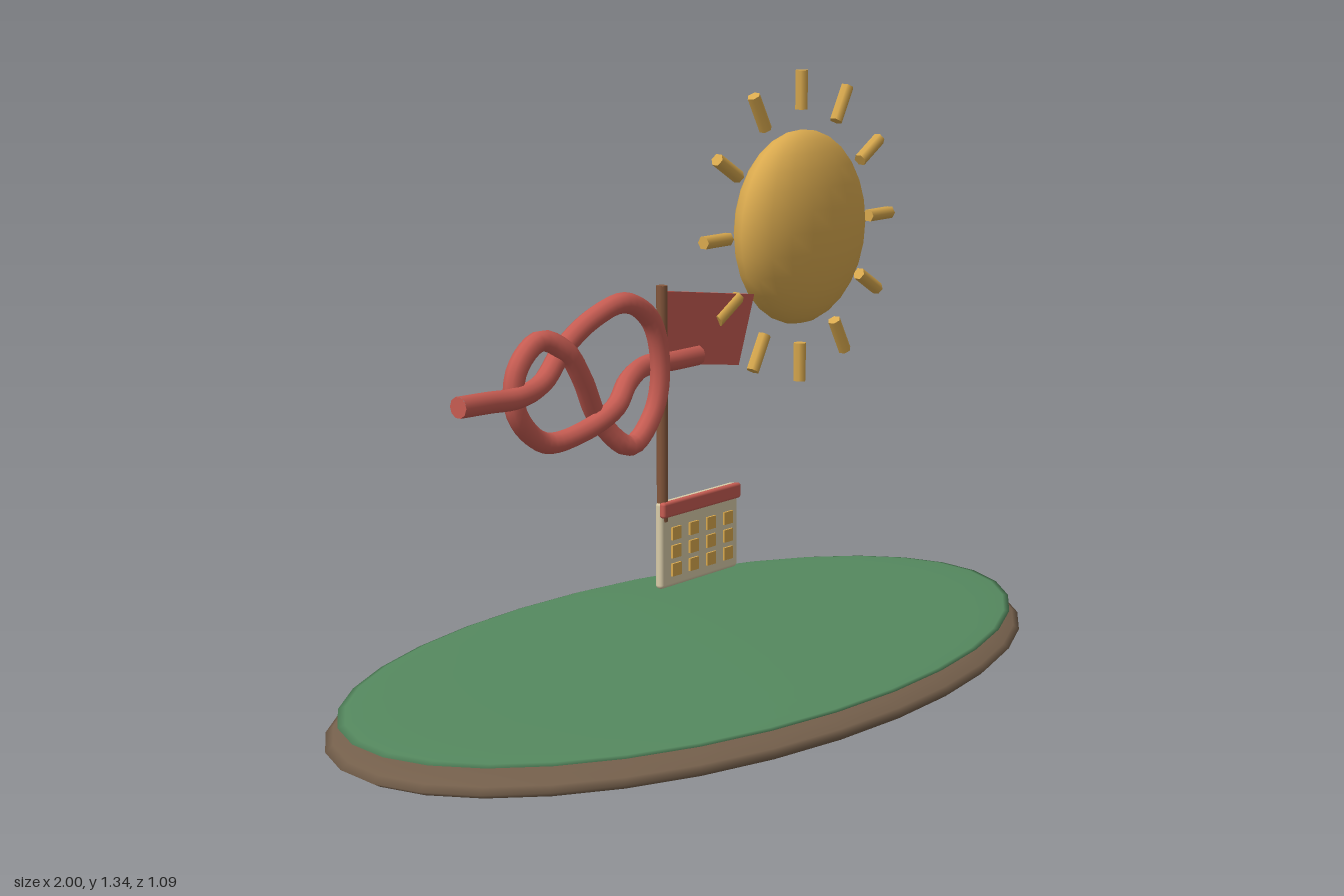
import * as THREE from 'three';
import { RoundedBoxGeometry } from 'three/addons/geometries/RoundedBoxGeometry.js';

const paint = (color) => {
  const m = new THREE.MeshStandardMaterial();
  m.color.set(color);
  return m;
};
const earth = paint(0x75604c), grass = paint(0x55895f), gold = paint(0xd9a94e);
const red = paint(0xc65c52), cream = paint(0xd8cba8), wood = paint(0x84573c);

export function createModel() {
  const model = new THREE.Group();
  const add = (name, geometry, material, x = 0, y = 0, z = 0, parent = model) => {
    const mesh = new THREE.Mesh(geometry, material);
    mesh.name = name;
    mesh.position.set(x, y, z);
    parent.add(mesh);
    return mesh;
  };

  // Flattened oval island with a thin grass layer
  add('islandBase', new THREE.SphereGeometry(1, 32, 16), earth, 0, 0.06).scale.set(1, 0.057, 0.545);
  add('grassTop', new THREE.SphereGeometry(1, 32, 16), grass, 0, 0.105).scale.set(0.97, 0.017, 0.525);

  // Sun with twelve rays
  const sun = new THREE.Group();
  sun.name = 'sun';
  sun.position.set(0.37, 0.997, 0);
  model.add(sun);
  add('sunDisc', new THREE.SphereGeometry(0.218, 20, 14), gold, 0, 0, 0, sun).scale.z = 0.41;
  for (let i = 0; i < 12; i++) {
    const a = (i / 12) * Math.PI * 2;
    const ray = add('sunRay', new THREE.CylinderGeometry(0.015, 0.015, 0.087, 6), gold,
      Math.cos(a) * 0.306, Math.sin(a) * 0.306, 0, sun);
    ray.rotation.z = a - Math.PI / 2;
  }

  // Calendar panel with header bar and a grid of day cells
  const calendar = new THREE.Group();
  calendar.name = 'calendar';
  model.add(calendar);
  add('calendarPanel', new RoundedBoxGeometry(0.266, 0.19, 0.02, 2, 0.008), cream, -0.002, 0.36, 0, calendar);
  add('calendarHeader', new RoundedBoxGeometry(0.268, 0.034, 0.016, 2, 0.006), red, -0.002, 0.439, 0.011, calendar);
  for (let row = 0; row < 3; row++) {
    for (let col = 0; col < 4; col++) {
      add('dayCell', new THREE.BoxGeometry(0.03, 0.028, 0.01), gold,
        -0.088 + col * 0.06, 0.383 - row * 0.04, 0.01, calendar);
    }
  }

  // Flag on a pole
  add('flagPole', new THREE.CylinderGeometry(0.012, 0.012, 0.51, 10), wood, -0.12, 0.667);
  const flagShape = new THREE.Shape([[-0.118, 0.91], [-0.118, 0.755], [0.14, 0.716], [0.195, 0.866]]
    .map(([x, y]) => new THREE.Vector2(x, y)));
  add('flag', new THREE.ExtrudeGeometry(flagShape, { depth: 0.008, bevelEnabled: false }), red, 0, 0, -0.004);

  // Rope tied in a figure-eight knot
  const path = [
    [-0.745, 0.755, 0], [-0.66, 0.752, 0], [-0.58, 0.75, 0.005], [-0.5, 0.768, 0],
    [-0.42, 0.83, -0.01], [-0.355, 0.882, 0.01], [-0.275, 0.907, 0.028], [-0.195, 0.86, 0.032],
    [-0.165, 0.76, 0.032], [-0.185, 0.665, 0.03], [-0.26, 0.604, 0.028], [-0.33, 0.665, 0.005],
    [-0.395, 0.765, 0.014], [-0.44, 0.825, 0.012], [-0.495, 0.853, -0.008], [-0.56, 0.8, -0.014],
    [-0.563, 0.715, -0.014], [-0.485, 0.642, -0.008], [-0.39, 0.654, 0.015], [-0.31, 0.692, 0.03],
    [-0.245, 0.735, 0.01], [-0.165, 0.755, -0.01], [-0.08, 0.757, 0], [0, 0.757, 0],
  ].map((p) => new THREE.Vector3(...p));
  const ropeRadius = 0.022;
  const curve = new THREE.CatmullRomCurve3(path);
  add('knottedRope', new THREE.TubeGeometry(curve, 120, ropeRadius, 10), red);
  for (const [t, side] of [[0, -1], [1, 1]]) {
    const end = curve.getPoint(t);
    const cap = add('ropeEnd', new THREE.CircleGeometry(ropeRadius, 10), red, end.x, end.y, end.z);
    cap.rotation.y = side * Math.PI / 2;
  }

  return model;
}
